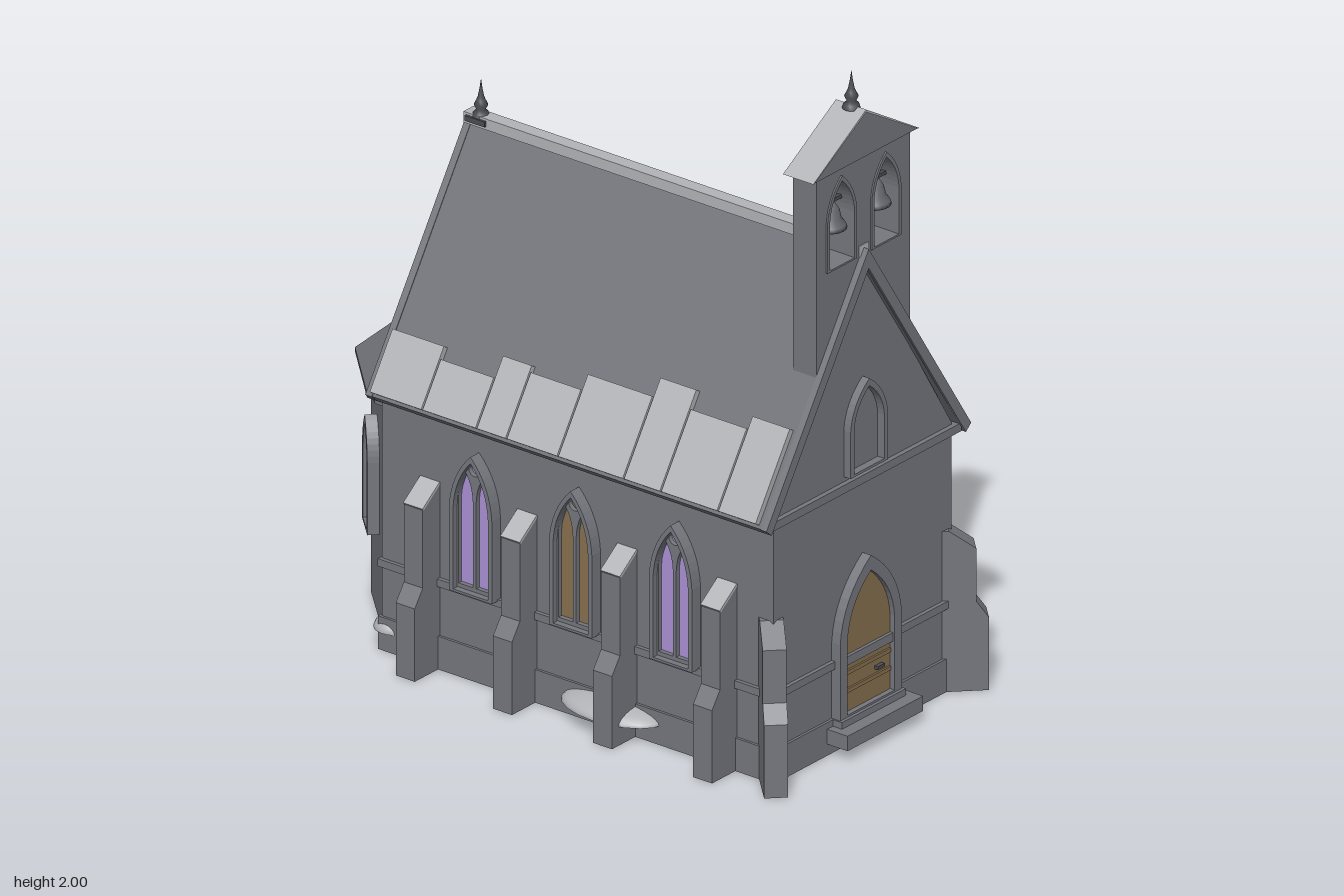
import * as THREE from 'three';
import { ConvexGeometry } from 'three/addons/geometries/ConvexGeometry.js';

const mat = (name, color, extra = {}) => {
  const m = new THREE.MeshStandardMaterial({ color, ...extra });
  m.name = name;
  return m;
};

export function createModel() {
  const stone = mat('grey stone', 0x75777e);
  const slate = mat('roof slate', 0x717379);
  const pale = mat('pale slate', 0xb2b4b8);
  const iron = mat('dark iron', 0x4c4d52);
  const bronze = mat('bell metal', 0x66676e);
  const glass = mat('violet glass', 0xab92d6, { side: THREE.DoubleSide });
  const wood = mat('brown wood', 0x87704f, { side: THREE.DoubleSide });

  const model = new THREE.Group();
  model.name = 'chapel';

  const add = (name, geo, material, parent = model) => {
    const m = new THREE.Mesh(geo, material);
    m.name = name;
    parent.add(m);
    return m;
  };
  // Box given by its limits
  const box = (name, x0, x1, y0, y1, z0, z1, material, parent) => {
    const m = add(name, new THREE.BoxGeometry(x1 - x0, y1 - y0, z1 - z0), material, parent);
    m.position.set((x0 + x1) / 2, (y0 + y1) / 2, (z0 + z1) / 2);
    return m;
  };
  const poly = (pts) => new THREE.Shape(pts.map(([x, y]) => new THREE.Vector2(x, y)));
  const extrude = (shape, z0, z1) =>
    new THREE.ExtrudeGeometry(shape, { depth: z1 - z0, bevelEnabled: false, curveSegments: 8 }).translate(0, 0, z0);
  // Pointed arch outline
  const arch = (w, y0, ys, top, cx = 0, Type = THREE.Shape) => {
    const s = new Type();
    const cy = ys + (top - ys) * 0.6;
    s.moveTo(cx - w, y0);
    s.lineTo(cx + w, y0);
    s.lineTo(cx + w, ys);
    s.quadraticCurveTo(cx + w * 0.92, cy, cx, top);
    s.quadraticCurveTo(cx - w * 0.92, cy, cx - w, ys);
    s.closePath();
    return s;
  };
  const hole = (...a) => arch(...a, THREE.Path);
  const ring = (w, y0, ys, top, t, depth, cx = 0) => {
    const s = arch(w, y0, ys, top, cx);
    s.holes.push(hole(w - t, y0 + t * 0.5, ys, top - t * 1.4, cx));
    return extrude(s, 0, depth);
  };
  const plate = (w, y0, ys, top, z) => new THREE.ShapeGeometry(arch(w, y0, ys, top), 8).translate(0, 0, z);
  const lathe = (pts, n = 12) => new THREE.LatheGeometry(pts.map(([r, y]) => new THREE.Vector2(r, y)), n);

  // Nave walls, plinth and string courses
  add('naveWalls', extrude(poly([[-0.39, 0], [0.39, 0], [0.39, 0.8], [0, 1.44], [-0.39, 0.8]]), -0.59, 0.78), stone);
  box('plinth', -0.398, 0.398, 0, 0.1, -0.598, 0.788, stone);
  box('stringCourse', -0.402, 0.402, 0.252, 0.275, -0.595, 0.792, stone);
  box('gableBand', -0.415, 0.415, 0.77, 0.795, -0.6, 0.795, stone);

  // Main roof with gable copings at both ends
  const chevron = (o, t) => poly([[0.445 + o, 0.785], [0, 1.472 + o], [-0.445 - o, 0.785],
    [-0.425, 0.765], [0, 1.472 - t], [0.425, 0.765]]);
  add('roof', extrude(chevron(0, 0.06), -0.595, 0.795), slate);
  for (const [a, b] of [[0.782, 0.802], [-0.602, -0.58]])
    add('gableCoping', extrude(chevron(0.003, 0.055), a, b), stone);
  box('ridgeCap', -0.021, 0.021, 1.452, 1.485, -0.6, 0.785, pale);

  // Pale slabs along the eaves: z from, z to, upper edge x
  const slope = Math.atan2(0.687, 0.445);
  const slabs = {
    1: [[0.63, 0.775, 0.355], [0.39, 0.63, 0.285], [0.155, 0.385, 0.295], [0.035, 0.15, 0.325],
      [-0.14, 0.03, 0.35], [-0.38, -0.145, 0.32], [-0.51, -0.385, 0.28], [-0.58, -0.52, 0.265]],
    [-1]: [[0.64, 0.77, 0.29], [0.44, 0.635, 0.31], [0.31, 0.435, 0.28], [0.08, 0.305, 0.31],
      [-0.1, 0.075, 0.335], [-0.205, -0.105, 0.325], [-0.395, -0.21, 0.36], [-0.58, -0.4, 0.34]],
  };
  for (const s of [1, -1]) for (const [z0, z1, x0] of slabs[s]) {
    const mid = (x0 + 0.44) / 2;
    const m = add('eavesSlab', new THREE.BoxGeometry((0.44 - x0) / Math.cos(slope), 0.022, z1 - z0), pale);
    m.rotation.z = -s * slope;
    m.position.set(s * (mid + 0.008 * Math.sin(slope)),
      1.472 - mid * Math.tan(slope) + 0.008 * Math.cos(slope), (z0 + z1) / 2);
  }

  // Bell gable with two arched openings
  const bellWall = poly([[-0.205, 1.1], [0.205, 1.1], [0.205, 1.76], [-0.205, 1.76]]);
  for (const cx of [-0.097, 0.097]) bellWall.holes.push(hole(0.063, 1.46, 1.6, 1.725, cx));
  add('bellGable', extrude(bellWall, 0.7, 0.782), stone);
  add('bellPediment', extrude(poly([[-0.228, 1.752], [0.228, 1.752], [0, 1.886]]), 0.69, 0.79), stone);
  add('bellRoof', extrude(poly([[0.232, 1.753], [0, 1.894], [-0.232, 1.753], [-0.226, 1.753],
    [0, 1.886], [0.226, 1.753]]), 0.687, 0.793), pale);
  for (const cx of [-0.097, 0.097]) {
    add('bellArch', ring(0.065, 1.455, 1.6, 1.728, 0.011, 0.09, cx), stone).position.z = 0.697;
    box('bellBeam', cx - 0.062, cx + 0.062, 1.632, 1.643, 0.735, 0.747, iron);
    const bell = add('bell', lathe([[0, 1.56], [0.05, 1.56], [0.046, 1.572], [0.034, 1.588],
      [0.028, 1.615], [0.018, 1.63], [0, 1.635]], 16), bronze);
    bell.position.set(cx, 0, 0.741);
    add('clapper', new THREE.SphereGeometry(0.011, 8, 6), iron).position.set(cx, 1.555, 0.741);
  }

  // Finials
  const finial = [[0.026, 0], [0.022, 0.012], [0.013, 0.022], [0.02, 0.036], [0.013, 0.05],
    [0.009, 0.06], [0.004, 0.085], [0, 0.115]];
  add('bellFinial', lathe(finial), iron).position.set(0, 1.885, 0.741);
  add('ridgeFinial', lathe(finial), iron).position.set(0, 1.476, -0.555);
  box('finialBase', -0.028, 0.028, 1.462, 1.478, -0.59, -0.52, iron);

  // Apse: walls, cornice and faceted roof
  const prism = (name, pts, y0, y1, material) => add(name, new ConvexGeometry(
    pts.flatMap(([x, z]) => [1, -1].flatMap((s) => [y0, y1].map((y) => new THREE.Vector3(s * x, y, z))))), material);
  prism('apseWalls', [[0.31, -0.56], [0.31, -0.65], [0.125, -0.84]], 0, 0.71, stone);
  prism('apseCornice', [[0.335, -0.56], [0.335, -0.66], [0.135, -0.862]], 0.7, 0.728, stone);
  const eave = [[0.355, -0.59], [0.355, -0.67], [0.145, -0.88]];
  const roofPts = eave.flatMap(([x, z]) => [1, -1].flatMap((s) =>
    [0.722, 0.735].map((y) => new THREE.Vector3(s * x, y, z))));
  roofPts.push(new THREE.Vector3(0.062, 1, -0.59), new THREE.Vector3(-0.062, 1, -0.59));
  add('apseRoof', new ConvexGeometry(roofPts), slate);

  // Windows, built facing +z
  const place = (name, x, z, turn) => {
    const g = new THREE.Group();
    g.name = name;
    g.position.set(x, 0, z);
    g.rotation.y = turn;
    model.add(g);
    return g;
  };
  const naveWindow = (s, z, pane) => {
    const g = place('naveWindow', s * 0.39, z, s * Math.PI / 2);
    add('frame', ring(0.075, 0.27, 0.52, 0.693, 0.014, 0.038), stone, g);
    add('pane', plate(0.066, 0.28, 0.52, 0.68, 0.006), pane, g);
    const tracery = arch(0.066, 0.278, 0.52, 0.682);
    for (const cx of [-0.031, 0.031]) tracery.holes.push(hole(0.025, 0.29, 0.55, 0.63, cx));
    const eye = new THREE.Path();
    eye.absarc(0, 0.647, 0.02, 0, Math.PI * 2);
    tracery.holes.push(eye);
    add('tracery', extrude(tracery, 0.002, 0.02), stone, g);
  };
  for (const s of [1, -1]) for (const z of [0.45, 0.1, -0.25])
    naveWindow(s, z, z === (s > 0 ? -0.25 : 0.1) ? wood : glass);
  const diag = Math.atan2(0.19, -0.185);
  for (const [x, z, turn] of [[0, -0.84, Math.PI], [0.2175, -0.745, diag], [-0.2175, -0.745, -diag]]) {
    const g = place('apseWindow', x, z, turn);
    add('frame', ring(0.058, 0.262, 0.48, 0.6, 0.018, 0.034), stone, g);
    add('pane', plate(0.045, 0.27, 0.48, 0.585, 0.006), glass, g);
  }

  // Stepped buttresses: profile runs outwards along local x
  const buttress = (x, z, turn, reach, top, capped) => {
    const g = place('buttress', x, z, turn);
    const inner = reach - 0.035;
    add('stones', extrude(poly([[-0.03, 0], [reach, 0], [reach, 0.22], [inner, 0.27],
      [inner, top - 0.055], [0, top], [-0.03, top]]), -0.033, 0.033), stone, g);
    if (!capped) return;
    const cap = add('capstone', new THREE.BoxGeometry(Math.hypot(inner, 0.055), 0.008, 0.068), pale, g);
    cap.position.set(inner / 2, top - 0.026, 0);
    cap.rotation.z = -Math.atan2(0.055, inner);
  };
  for (const s of [1, -1]) {
    const turn = s > 0 ? 0 : Math.PI;
    for (const z of [0.62, 0.27, -0.08, -0.42]) buttress(s * 0.39, z, turn, 0.11, 0.56, true);
    buttress(s * 0.385, 0.77, s > 0 ? -Math.PI / 4 : -Math.PI * 0.75, 0.11, 0.485, false);
  }

  // Doorway and steps
  const door = place('doorway', 0, 0.78, 0);
  add('doorFrame', ring(0.135, 0.09, 0.33, 0.552, 0.032, 0.03), stone, door);
  add('door', plate(0.108, 0.1, 0.33, 0.515, 0.014), wood, door);
  box('doorBar', -0.104, 0.104, 0.252, 0.278, 0, 0.024, stone, door);
  for (const y of [0.165, 0.22]) box('doorRail', -0.1, 0.1, y, y + 0.012, 0.012, 0.02, wood, door);
  box('doorHandle', 0.035, 0.065, 0.19, 0.2, 0.012, 0.026, iron, door);
  box('lowerStep', -0.165, 0.165, 0.035, 0.08, -0.01, 0.08, stone, door);
  box('upperStep', -0.14, 0.14, 0.075, 0.1, -0.01, 0.04, stone, door);

  // Blind niche in the front gable
  add('gableNiche', ring(0.082, 0.81, 0.95, 1.085, 0.016, 0.024), stone).position.z = 0.78;

  // Low pale mounds against the walls
  for (const [x, z, rx, ry, rz] of [[0.385, 0.29, 0.09, 0.04, 0.16], [-0.385, 0.22, 0.1, 0.04, 0.17],
    [-0.35, -0.575, 0.06, 0.04, 0.06]]) {
    const m = add('mound', new THREE.SphereGeometry(1, 20, 8, 0, Math.PI * 2, 0, Math.PI / 2), pale);
    m.scale.set(rx, ry, rz);
    m.position.set(x, 0.057, z);
    const base = add('moundBase', new THREE.CircleGeometry(1, 20).rotateX(Math.PI / 2), pale, m);
    base.position.y = 0;
  }
  return model;
}
